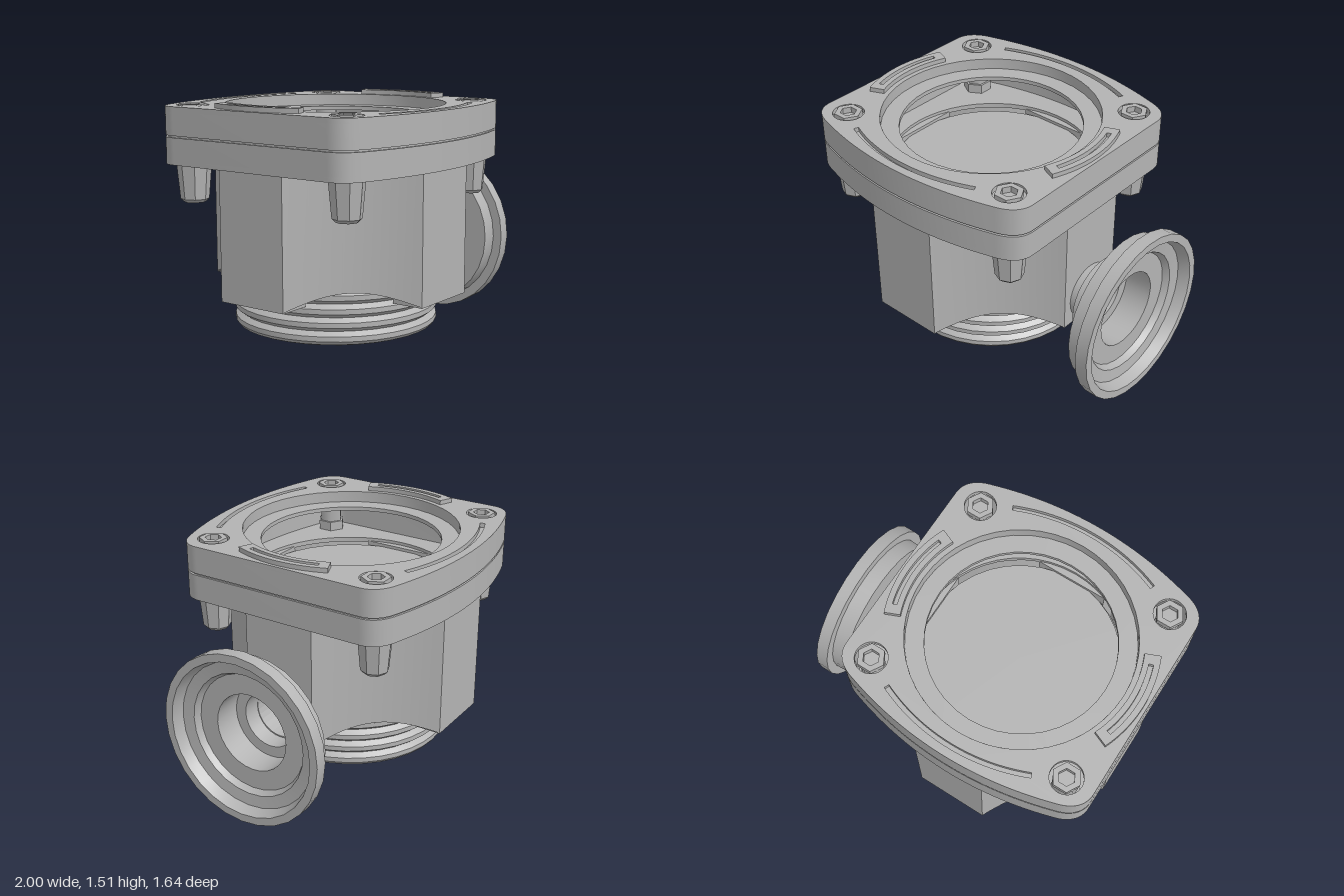
import * as THREE from 'three';
import { toCreasedNormals } from 'three/addons/utils/BufferGeometryUtils.js';

const metal = new THREE.MeshStandardMaterial({ color: 0xb3b3b3 });
metal.name = 'castGrey';
metal.side = THREE.DoubleSide;

function add(parent, name, geometry, x = 0, y = 0, z = 0) {
  const mesh = new THREE.Mesh(geometry, metal);
  mesh.name = name;
  mesh.position.set(x, y, z);
  parent.add(mesh);
  return mesh;
}

// Rounded-square outline with bowed front and back edges
function outline(inset = 0, Type = THREE.Shape) {
  const s = new Type();
  const k = 1 - inset / 0.81;
  const p = (x, y) => [x * k, y * k];
  s.moveTo(...p(0.81, -0.56));
  s.lineTo(...p(0.81, 0.56));
  s.quadraticCurveTo(...p(0.81, 0.68), ...p(0.66, 0.72));
  s.quadraticCurveTo(...p(0, 0.92), ...p(-0.66, 0.72));
  s.quadraticCurveTo(...p(-0.81, 0.68), ...p(-0.81, 0.56));
  s.lineTo(...p(-0.81, -0.56));
  s.quadraticCurveTo(...p(-0.81, -0.68), ...p(-0.66, -0.72));
  s.quadraticCurveTo(...p(0, -0.92), ...p(0.66, -0.72));
  s.quadraticCurveTo(...p(0.81, -0.68), ...p(0.81, -0.56));
  return s;
}

// Curved slot between two radii
function arcBand(Type, cx, cy, r0, r1, angle, half) {
  const s = new Type();
  s.absarc(cx, cy, r1, angle - half, angle + half, false);
  s.absarc(cx, cy, r0, angle + half, angle - half, true);
  s.closePath();
  return s;
}

function circle(r, x = 0, y = 0) {
  return new THREE.Path().absarc(x, y, r, 0, Math.PI * 2, true);
}

function hexagon(r, Type) {
  const pts = [];
  for (let i = 0; i < 6; i++) pts.push(new THREE.Vector2(r * Math.cos(i * Math.PI / 3), r * Math.sin(i * Math.PI / 3)));
  return new Type(pts);
}

// Flat plate lying in x-z, extruded upward
function slab(shape, holes, height) {
  shape.holes.push(...holes);
  const g = new THREE.ExtrudeGeometry(shape, { depth: height, bevelEnabled: false, curveSegments: 24 });
  g.rotateX(-Math.PI / 2);
  return toCreasedNormals(g, 0.5);
}

function lathe(points, segments) {
  return toCreasedNormals(new THREE.LatheGeometry(points.map(([r, y]) => new THREE.Vector2(r, y)), segments), 0.6);
}

// Concave corner wall with an arched lower edge and closed underside
function cornerWall(P) {
  const curve = new THREE.QuadraticBezierCurve(
    new THREE.Vector2(0.23, P), new THREE.Vector2(0.425, 0.425), new THREE.Vector2(P, 0.23));
  const n = 16, pos = [], idx = [];
  for (let i = 0; i <= n; i++) {
    const p = curve.getPoint(i / n);
    const y = 0.385 + 0.085 * Math.sin(Math.PI * i / n);
    const k = 0.59 / p.length();
    pos.push(p.x * k, y, p.y * k, p.x, y, p.y, p.x, 1.16, p.y);
  }
  for (let i = 0; i < n; i++) {
    for (let j = 0; j < 2; j++) {
      const a = i * 3 + j, b = a + 3;
      idx.push(a, b, a + 1, b, b + 1, a + 1);
    }
  }
  const g = new THREE.BufferGeometry();
  g.setAttribute('position', new THREE.Float32BufferAttribute(pos, 3));
  g.setIndex(idx);
  return toCreasedNormals(g, 0.6);
}

export function createModel() {
  const model = new THREE.Group();
  model.name = 'pumpHousing';
  const body = new THREE.Group();
  body.name = 'body';
  body.position.x = -0.19;
  model.add(body);
  const corners = [[1, 1], [-1, 1], [1, -1], [-1, -1]];
  const BX = 0.64, BZ = 0.565, P = 0.785;

  // Ribbed cartridge, closed at both ends
  const ribs = [[0, 0.145], [0.58, 0.145], [0.605, 0.155]];
  for (let y = 0.19; y < 1.1; y += 0.08) {
    ribs.push([0.62, y - 0.015], [0.62, y + 0.015], [0.588, y + 0.04]);
  }
  ribs.push([0.6, 1.14], [0, 1.14]);
  add(body, 'ribbedCartridge', lathe(ribs, 36));

  // Housing walls: four flat panels joined by concave corners
  for (let i = 0; i < 4; i++) {
    const s = new THREE.Shape();
    s.moveTo(-0.23, 0.38);
    s.lineTo(0.23, 0.38);
    s.lineTo(0.23, 1.16);
    s.lineTo(-0.23, 1.16);
    s.closePath();
    if (i === 1) s.holes.push(circle(0.163, 0, 0.55));
    const g = new THREE.ExtrudeGeometry(s, { depth: 0.2, bevelEnabled: false, curveSegments: 16 });
    g.translate(0, 0, P - 0.2);
    add(body, 'housingPanel', g).rotation.y = i * Math.PI / 2;
  }
  const cornerGeo = cornerWall(P);
  for (const [sx, sz] of corners) add(body, 'housingCorner', cornerGeo).scale.set(sx, 1, sz);

  // Lower flange: floor and rim
  add(body, 'flangeFloor', slab(outline(), [circle(0.63)], 0.03), 0, 1.15);
  add(body, 'flangeRim', slab(outline(), [outline(0.05, THREE.Path)], 0.13), 0, 1.18);
  add(body, 'seam', slab(outline(0.012), [outline(0.05, THREE.Path)], 0.012), 0, 1.309);

  // Upper lid: rim, slotted top and stepped central opening
  add(body, 'lidRim', slab(outline(), [outline(0.05, THREE.Path)], 0.139), 0, 1.321);
  const lidHoles = [circle(0.665)];
  for (const [sx, sz] of corners) lidHoles.push(circle(0.095, sx * BX, sz * BZ));
  for (const s of [1, -1]) {
    lidHoles.push(arcBand(THREE.Path, 0, -0.43 * s, 1.17, 1.2, s * Math.PI / 2, 0.41));
  }
  add(body, 'lidTop', slab(outline(), lidHoles, 0.03), 0, 1.46);
  add(body, 'lidOpening', lathe([[0.665, 1.488], [0.665, 1.42], [0.555, 1.42], [0.555, 1.395], [0.68, 1.395], [0.68, 1.46]], 40));
  for (const s of [1, -1]) {
    add(body, 'slotFloor', slab(arcBand(THREE.Shape, 0, -0.43 * s, 1.16, 1.21, s * Math.PI / 2, 0.42), [], 0.008), 0, 1.455);
  }

  // Raised curved brackets on both sides
  for (const a of [0, Math.PI]) {
    const groove = arcBand(THREE.Path, 0, 0, 0.728, 0.755, a, 0.32);
    add(body, 'sideBracket', slab(arcBand(THREE.Shape, 0, 0, 0.695, 0.79, a, 0.4), [groove], 0.03), 0, 1.488);
  }

  // Corner bolts, nuts and tapered bosses
  const headGeo = slab(hexagon(0.085, THREE.Shape), [hexagon(0.05, THREE.Path)], 0.04);
  const shaftGeo = new THREE.CylinderGeometry(0.075, 0.075, 0.29, 6);
  const nutGeo = new THREE.CylinderGeometry(0.09, 0.09, 0.06, 6).toNonIndexed();
  nutGeo.computeVertexNormals();
  const bossGeo = toCreasedNormals(lathe([[0, 0.915], [0.065, 0.915], [0.085, 0.935], [0.105, 1.155]], 8), 0.3);
  for (const [sx, sz] of corners) {
    const bolt = new THREE.Group();
    bolt.name = 'cornerBolt';
    bolt.position.set(sx * BX, 0, sz * BZ);
    body.add(bolt);
    add(bolt, 'boltHead', headGeo, 0, 1.457);
    add(bolt, 'boltShaft', shaftGeo, 0, 1.315);
    add(bolt, 'boltNut', nutGeo, 0, 1.21);
    add(bolt, 'boss', bossGeo);
  }

  // Side port: stepped pipe with a dished flange and open bore
  const port = lathe([
    [0.163, 0.56], [0.18, 0.56], [0.18, 0.675], [0.258, 0.675], [0.258, 0.82],
    [0.475, 0.82], [0.48, 0.92], [0.54, 0.92], [0.54, 1.0], [0.49, 1.0],
    [0.465, 0.93], [0.39, 0.92], [0.37, 0.88], [0.245, 0.88], [0.245, 0.7],
    [0.175, 0.7], [0.163, 0.56],
  ], 28);
  port.rotateZ(-Math.PI / 2);
  add(model, 'sidePort', port, 0, 0.545, 0);

  return model;
}
